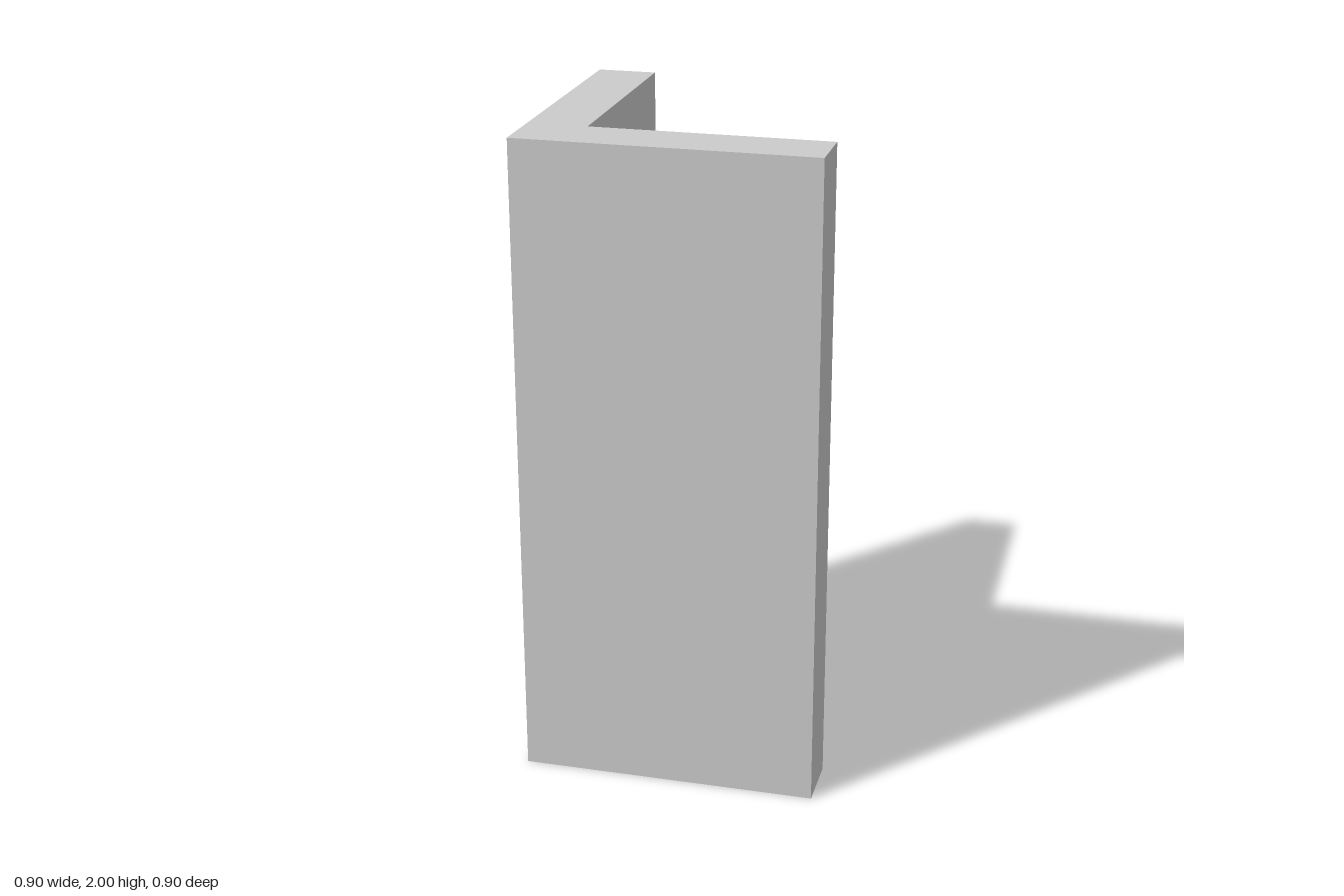
import * as THREE from 'three';

export function createModel() {
  const group = new THREE.Group();
  group.name = 'angleBar';

  const height = 2;
  const h = 0.4525;          // half the leg length
  const inner = h - 0.181;   // inner face of each leg

  // L-shaped section: one leg along the front, one along the right side
  const section = new THREE.Shape([
    [-h, -h], [h, -h], [h, -inner], [-inner, -inner], [-inner, h], [-h, h],
  ].map(([x, y]) => new THREE.Vector2(x, y)));

  // Extrude the section and stand it upright
  const geometry = new THREE.ExtrudeGeometry(section, { depth: height, bevelEnabled: false });
  geometry.rotateX(-Math.PI / 2);

  const material = new THREE.MeshStandardMaterial({ color: 0xcccccc, flatShading: true });
  const bar = new THREE.Mesh(geometry, material);
  bar.name = 'cornerProfile';
  group.add(bar);

  return group;
}
